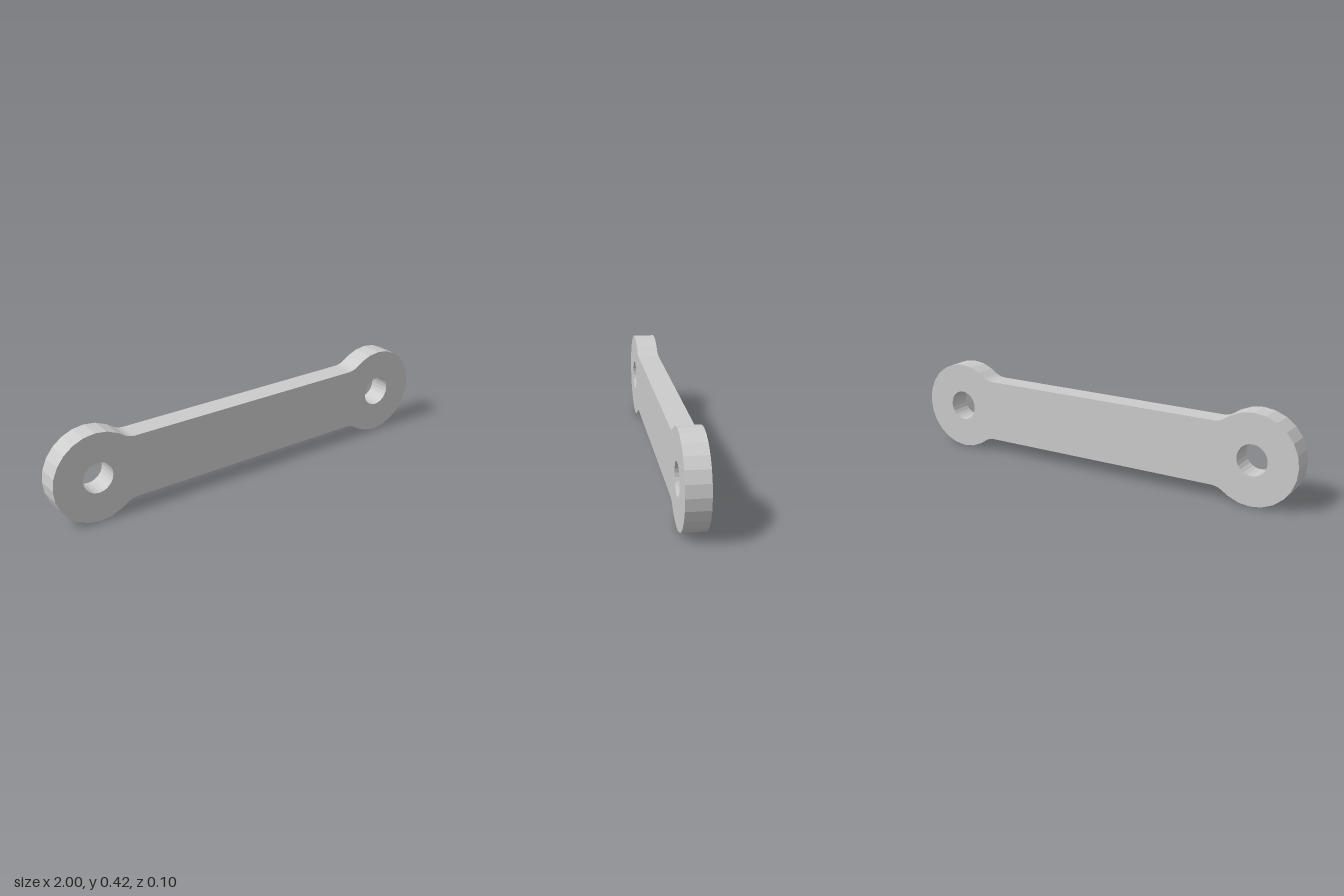
import * as THREE from 'three';

const R = 0.2115;         // eye radius
const EYE_X = 1 - R;      // eye centre
const HOLE = 0.072;       // pin hole radius
const HALF = 0.148;       // half height of the bar
const FILLET = 0.1;       // blend between bar and eye
const DEPTH = 0.105;
const STEP = Math.PI / 12;

// Upper right quarter of the outline, from the eye tip to the bar
function quarterOutline() {
  const fx = EYE_X - Math.sqrt((R + FILLET) ** 2 - (HALF + FILLET) ** 2);
  const fy = HALF + FILLET;
  const tangent = Math.atan2(fy, fx - EYE_X);
  const points = [];
  for (let a = 0; a < tangent - 0.01; a += STEP) {
    points.push(new THREE.Vector2(EYE_X + R * Math.cos(a), R * Math.sin(a)));
  }
  // Concave fillet, turning from the eye to the level bar edge
  const start = tangent - Math.PI, end = -Math.PI / 2, n = 5;
  for (let i = 0; i <= n; i++) {
    const a = start + (end - start) * i / n;
    points.push(new THREE.Vector2(fx + FILLET * Math.cos(a), fy + FILLET * Math.sin(a)));
  }
  return points;
}

export function createModel() {
  const group = new THREE.Group();
  group.name = 'connectingLink';

  // Mirror the quarter into the full outline
  const mirror = (pts, sx, sy) => pts.map(p => new THREE.Vector2(p.x * sx, p.y * sy));
  const q = quarterOutline();
  const back = [...q].reverse();
  const shape = new THREE.Shape([
    ...q,
    ...mirror(back, -1, 1).slice(0, -1),
    ...mirror(q, -1, -1),
    ...mirror(back, 1, -1).slice(0, -1),
  ]);

  // Pin hole in each eye
  for (const side of [-1, 1]) {
    const ring = [];
    for (let i = 0; i < 24; i++) {
      ring.push(new THREE.Vector2(
        side * EYE_X + HOLE * Math.cos(i * STEP), -HOLE * Math.sin(i * STEP)));
    }
    shape.holes.push(new THREE.Path(ring));
  }

  const geometry = new THREE.ExtrudeGeometry(shape, { depth: DEPTH, bevelEnabled: false });
  geometry.translate(0, R, -DEPTH / 2);
  const link = new THREE.Mesh(geometry,
    new THREE.MeshStandardMaterial({ color: 0xcccccc, flatShading: true }));
  link.name = 'linkBar';
  group.add(link);
  return group;
}
